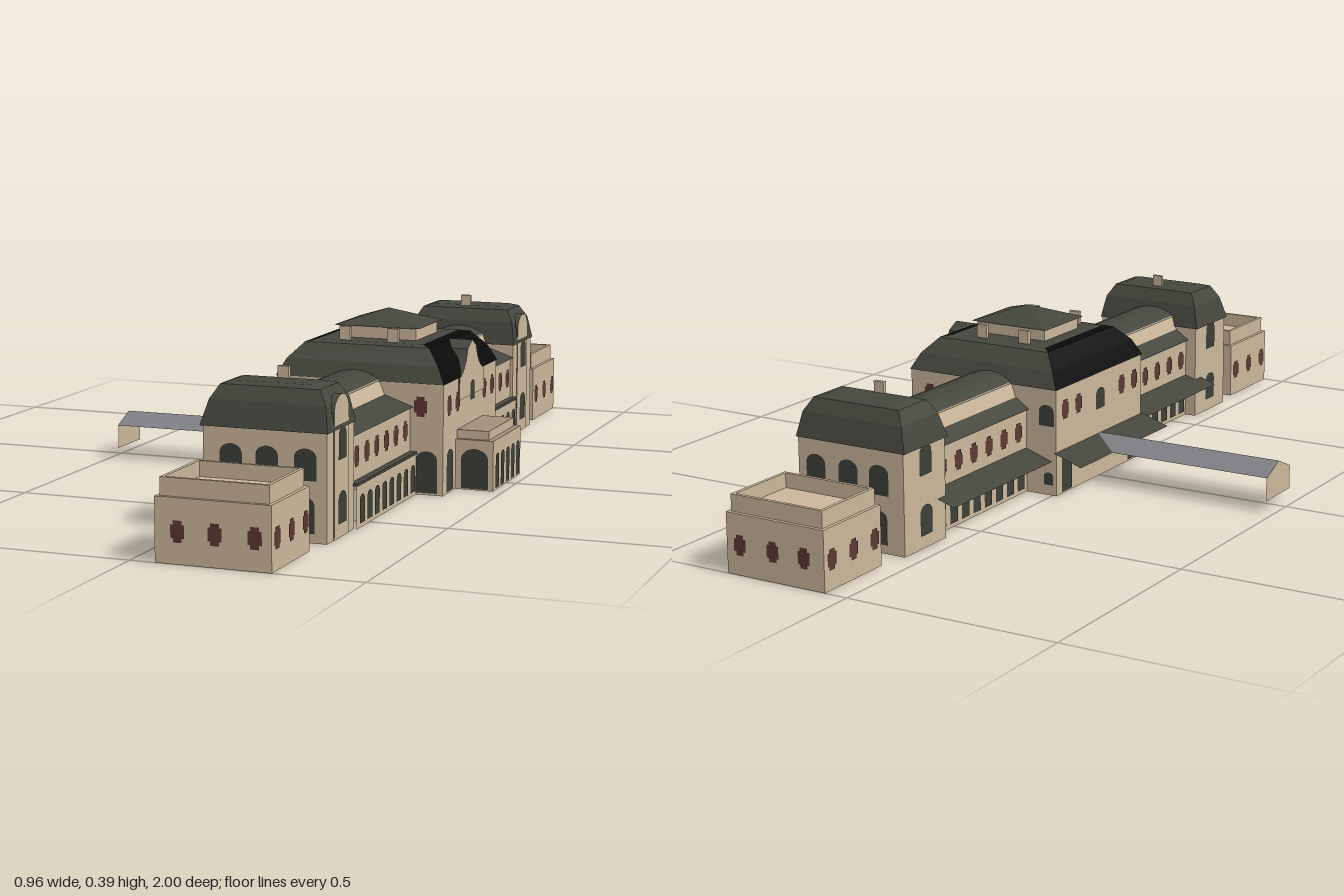
import * as THREE from 'three';

const mat = (name, color, side = THREE.FrontSide) => {
  const m = new THREE.MeshStandardMaterial({ color, side });
  m.name = name;
  return m;
};

export function createModel() {
  const model = new THREE.Group();
  const stone = mat('stone', 0xcbb79b, THREE.DoubleSide);
  const slate = mat('slate', 0x45473e, THREE.DoubleSide);
  const shade = mat('black slate', 0x090a09);
  const glass = mat('dark glass', 0x3c4038);
  const brown = mat('red brown windows', 0x5c3833);
  const grey = mat('grey canopy', 0x808085, THREE.DoubleSide);
  const terrace = mat('terrace', 0xa38f7c);

  const add = (name, geo, material, parent = model) => {
    const m = new THREE.Mesh(geo, material);
    m.name = name;
    parent.add(m);
    return m;
  };

  // Stacked rectangles [x0, x1, z0, z1, y]; materials: +z, +x, -z, -x, top
  function tiers(name, rings, mats, capped = true) {
    const list = Array.isArray(mats) ? mats : Array(5).fill(mats);
    const pos = [], geo = new THREE.BufferGeometry();
    const corners = ([a, b, c, d, y]) => [[a, y, d], [b, y, d], [b, y, c], [a, y, c]];
    const quad = (a, b, c, d, side) => {
      geo.addGroup(pos.length / 3, 6, side);
      pos.push(...a, ...b, ...c, ...a, ...c, ...d);
    };
    for (let r = 0; r + 1 < rings.length; r++) {
      const lo = corners(rings[r]), hi = corners(rings[r + 1]);
      for (let i = 0; i < 4; i++) {
        const j = (i + 1) % 4;
        quad(lo[i], lo[j], hi[j], hi[i], i);
      }
    }
    if (capped) quad(...corners(rings[rings.length - 1]), 4);
    geo.setAttribute('position', new THREE.Float32BufferAttribute(pos, 3));
    geo.computeVertexNormals();
    return add(name, geo, list);
  }
  const block = (name, x0, x1, z0, z1, y0, y1, m, capped) =>
    tiers(name, [[x0, x1, z0, z1, y0], [x0, x1, z0, z1, y1]], m, capped);

  // Folded sheet: [x, y] outline carried along z
  function sheet(name, pts, z0, z1, material) {
    const pos = [];
    for (let i = 0; i + 1 < pts.length; i++) {
      const [a, b] = pts[i], [c, d] = pts[i + 1];
      pos.push(a, b, z0, a, b, z1, c, d, z1, a, b, z0, c, d, z1, c, d, z0);
    }
    const geo = new THREE.BufferGeometry();
    geo.setAttribute('position', new THREE.Float32BufferAttribute(pos, 3));
    geo.computeVertexNormals();
    return add(name, geo, material);
  }

  const archShape = (w, h) => {
    const s = new THREE.Shape(), r = w / 2;
    s.moveTo(-r, 0);
    s.lineTo(r, 0);
    s.lineTo(r, h - r * 0.8);
    s.absellipse(0, h - r * 0.8, r, r * 0.8, 0, Math.PI, false);
    return s;
  };
  const crossShape = (w, h) => {
    const a = w / 2, b = w / 3.2, c = h / 2, d = h / 3.2;
    return new THREE.Shape([[-b, -c], [b, -c], [b, -d], [a, -d], [a, d], [b, d],
      [b, c], [-b, c], [-b, d], [-a, d], [-a, -d], [-b, -d]].map(p => new THREE.Vector2(...p)));
  };
  // Thin window plates on a wall; turn counts quarter turns from +z
  const plate = (name, shape, material, x, y, z, turn) => {
    const m = add(name, new THREE.ShapeGeometry(shape, 8), material);
    const a = turn * Math.PI / 2;
    m.rotation.y = a;
    m.position.set(x + Math.sin(a) * 0.002, y, z + Math.cos(a) * 0.002);
  };
  const arch = (x, y, z, w, h, t) => plate('archedWindow', archShape(w, h), glass, x, y, z, t);
  const cross = (x, y, z, t) => plate('smallWindow', crossShape(0.03, 0.045), brown, x, y, z, t);

  // Gable wall with slate sides, reaching out towards +x
  const dormer = (shape, x0, x1, z) => {
    const m = add('dormer', new THREE.ExtrudeGeometry(shape,
      { depth: x1 - x0, bevelEnabled: false, curveSegments: 10 }), [stone, slate]);
    m.rotation.y = Math.PI / 2;
    m.position.set(x0, 0, z);
  };

  for (const s of [1, -1]) {
    const span = (a, b) => s > 0 ? [a, b] : [-b, -a];
    const end = s > 0 ? 0 : 2;

    // Detached end blocks with a parapet around a sunken roof
    const [e0, e1] = span(0.8, 1);
    block('endBlock', 0.055, 0.305, e0, e1, 0, 0.135, stone);
    tiers('endParapet', [[0.063, 0.297, e0 + 0.008, e1 - 0.008, 0.135],
      [0.063, 0.297, e0 + 0.008, e1 - 0.008, 0.173],
      [0.071, 0.289, e0 + 0.016, e1 - 0.016, 0.173],
      [0.071, 0.289, e0 + 0.016, e1 - 0.016, 0.14]], stone);
    for (const x of [0.105, 0.185, 0.27]) {
      cross(x, 0.067, e1, 0);
      cross(x, 0.067, e0, 2);
    }
    for (const z of [0.825, 0.9, 0.975]) {
      cross(0.305, 0.067, s * z, 1);
      cross(0.055, 0.067, s * z, 3);
    }

    // Pavilions with mansard roofs
    const [p0, p1] = span(0.575, 0.732);
    block('pavilionWalls', 0.042, 0.317, p0, p1, 0, 0.235, stone, false);
    tiers('pavilionRoof', [[0.036, 0.32, p0 - 0.004, p1 + 0.004, 0.23],
      [0.052, 0.31, p0 + 0.01, p1 - 0.01, 0.285],
      [0.07, 0.292, p0 + 0.027, p1 - 0.027, 0.315],
      [0.09, 0.27, p0 + 0.045, p1 - 0.045, 0.321]], slate);
    const gable = archShape(0.085, 0.3);
    dormer(gable, 0.22, 0.3185, s * 0.652);
    block('chimney', 0.165, 0.19, s * 0.62 - 0.005, s * 0.62 + 0.005, 0.31, 0.346, stone);
    for (const [x, t] of [[0.3185, 1], [0.042, 3]]) {
      arch(x, 0.165, s * 0.652, 0.045, 0.068, t);
      arch(x, 0.03, s * 0.652, 0.045, 0.068, t);
    }
    for (const x of [0.105, 0.185, 0.27]) {
      arch(x, 0.13, s * 0.732, 0.05, 0.067, end);
      arch(x, 0.02, s * 0.732, 0.04, 0.075, end);
    }

    // Wings: arcade, upper wall, lean-to roofs, clerestory and curved roof
    const [w0, w1] = span(0.19, 0.58);
    sheet('wingFrontWall', [[0.31, 0.2], [0.31, 0.095], [0.325, 0.093], [0.325, 0]].reverse(), w0, w1, stone);
    sheet('wingRearWall', [[0.07, 0.2], [0.07, 0]], w0, w1, stone);
    sheet('wingFrontLeanTo', [[0.318, 0.198], [0.25, 0.222]], w0, w1, slate);
    sheet('wingRearLeanTo', [[0.063, 0.198], [0.098, 0.222]], w0, w1, slate);
    sheet('frontClerestory', [[0.25, 0.22], [0.235, 0.257]], w0, w1, stone);
    sheet('rearClerestory', [[0.098, 0.22], [0.112, 0.257]], w0, w1, stone);
    sheet('wingRoof', [[0.238, 0.253], [0.225, 0.262], [0.2, 0.271], [0.173, 0.274],
      [0.147, 0.271], [0.122, 0.262], [0.109, 0.253]], w0, w1, slate);
    block('stringCourse', 0.308, 0.327, w0, w1, 0.092, 0.098, slate);
    for (let i = 0; i < 8; i++) {
      const z = s * (0.225 + i * 0.0465);
      arch(0.325, 0.01, z, 0.03, 0.062, 1);
      arch(0.07, 0.01, z, 0.03, 0.065, 3);
    }
    for (let i = 0; i < 6; i++) {
      const z = s * (0.235 + i * 0.062);
      cross(0.31, 0.15, z, 1);
      cross(0.07, 0.15, z, 3);
    }
    const [c0, c1] = span(0.2, 0.605);
    sheet('platformCanopy', [[0.072, 0.106], [0, 0.082]], c0, c1, slate);

    // Openings on the centre block
    arch(0.35, 0.005, s * 0.197, 0.05, 0.095, end);
    cross(0.335, 0.2, s * 0.197, end);
    arch(0.015, 0.165, s * 0.197, 0.04, 0.05, end);
    arch(0.01, 0.025, s * 0.197, 0.025, 0.03, end);
    for (const [x, t] of [[0.388, 1], [-0.01, 3]]) {
      arch(x, 0.005, s * 0.153, 0.045, 0.095, t);
      cross(x, 0.2, s * 0.16, t);
      cross(x, 0.2, s * 0.1, t);
    }
    for (const x of [0.125, 0.24])
      block('chimney', x - 0.013, x + 0.013, s * 0.115 - 0.005, s * 0.115 + 0.005, 0.32, 0.36, stone);
  }

  // Centre block with mansard roof
  block('centreWalls', -0.01, 0.388, -0.197, 0.197, 0, 0.255, stone, false);
  tiers('centreRoof', [[-0.012, 0.39, -0.2, 0.2, 0.252], [0.008, 0.37, -0.183, 0.183, 0.29],
    [0.04, 0.338, -0.15, 0.15, 0.325], [0.06, 0.315, -0.13, 0.13, 0.329]],
    [slate, shade, slate, shade, slate]);
  const gable = new THREE.Shape();
  gable.moveTo(-0.09, 0.2);
  gable.lineTo(0.09, 0.2);
  gable.lineTo(0.09, 0.25);
  gable.quadraticCurveTo(0.045, 0.265, 0.032, 0.31);
  gable.lineTo(0, 0.327);
  gable.lineTo(-0.032, 0.31);
  gable.quadraticCurveTo(-0.045, 0.265, -0.09, 0.25);
  dormer(gable, 0.3, 0.391, 0);
  arch(0.391, 0.19, 0, 0.032, 0.045, 1);
  arch(-0.01, 0.165, 0, 0.04, 0.05, 3);

  // Roof lantern
  block('lanternWalls', 0.095, 0.281, -0.075, 0.075, 0.325, 0.358, stone, false);
  tiers('lanternRoof', [[0.085, 0.291, -0.085, 0.085, 0.357],
    [0.187, 0.189, -0.001, 0.001, 0.391]], slate);

  // Entrance porch
  block('porch', 0.385, 0.477, -0.107, 0.107, 0, 0.115, [stone, stone, stone, stone, terrace]);
  block('porchParapet', 0.385, 0.463, -0.097, 0.097, 0.115, 0.135, [stone, stone, stone, stone, terrace]);
  for (let i = -2; i <= 2; i++) arch(0.477, 0.005, i * 0.04, 0.026, 0.08, 1);
  arch(0.434, 0.003, 0.107, 0.064, 0.092, 0);
  arch(0.434, 0.003, -0.107, 0.064, 0.092, 2);

  // Rear canopy and covered walkway
  sheet('rearCanopy', [[-0.01, 0.104], [-0.08, 0.08]], -0.205, 0.205, slate);
  const walk = sheet('walkwayRoof', [[-0.06, 0.08], [0, 0.106], [0.06, 0.08]], -0.48, -0.01, grey);
  walk.rotation.y = Math.PI / 2;
  const screen = new THREE.Shape([[-0.06, 0.025], [0.06, 0.025], [0.06, 0.08], [0, 0.106], [-0.06, 0.08]]
    .map(p => new THREE.Vector2(...p)));
  const endWall = add('walkwayEnd', new THREE.ShapeGeometry(screen), stone);
  endWall.rotation.y = -Math.PI / 2;
  endWall.position.x = -0.479;

  return model;
}
